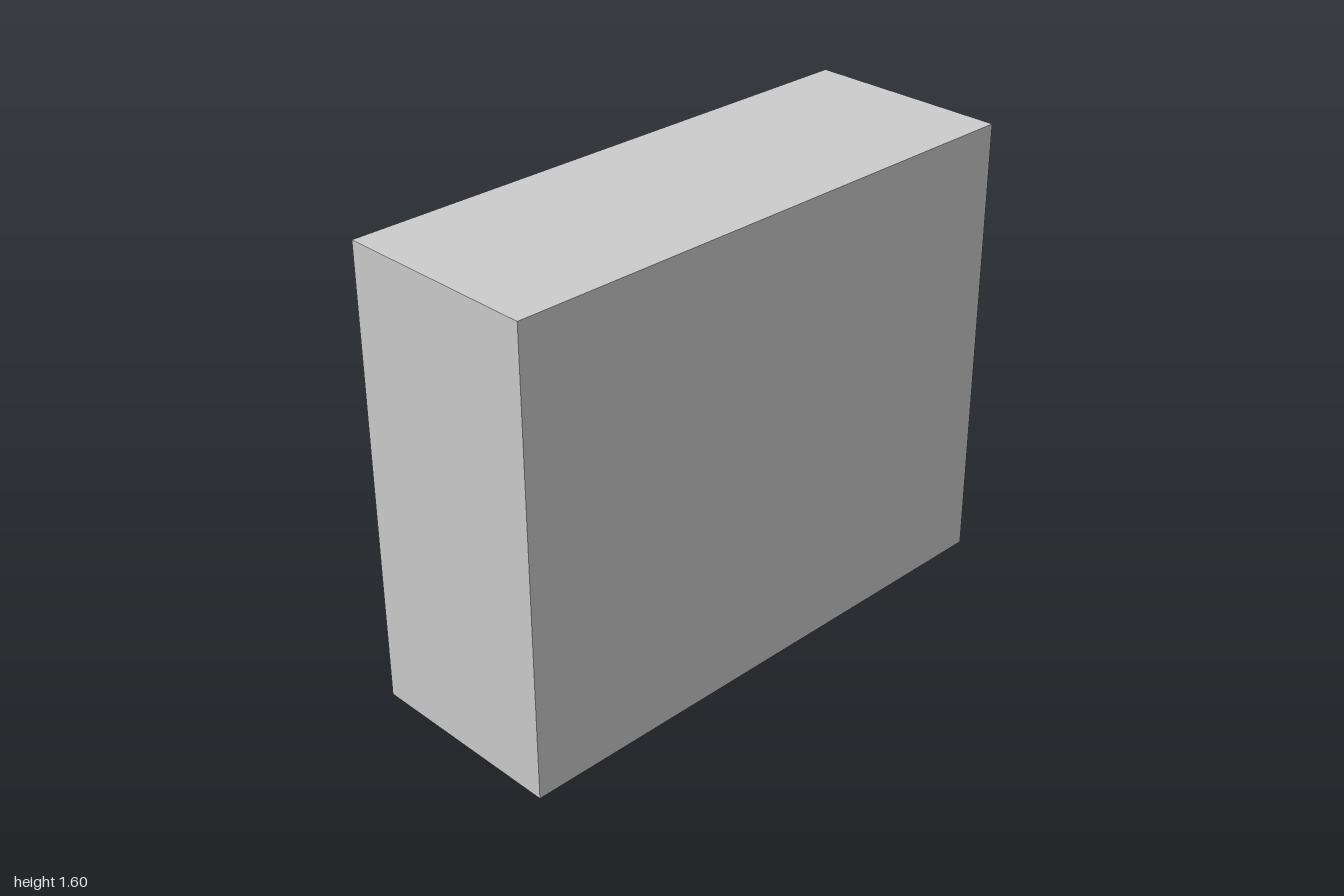
import * as THREE from 'three';

const T = 0.02; // wall thickness

export function createModel() {
  const model = new THREE.Group();
  const grey = new THREE.MeshStandardMaterial({ color: 0xcccccc });
  grey.name = 'light grey';

  // Box given by its lower and upper limits on each axis
  function slab(name, [x0, x1], [y0, y1], [z0, z1]) {
    const mesh = new THREE.Mesh(new THREE.BoxGeometry(x1 - x0, y1 - y0, z1 - z0), grey);
    mesh.position.set((x0 + x1) / 2, (y0 + y1) / 2, (z0 + z1) / 2);
    mesh.name = name;
    model.add(mesh);
  }

  // Side profile of [z, y] points, extruded along x from x0 to x1
  function profile(name, outline, x0, x1, hole) {
    const points = (list) => list.map(([z, y]) => new THREE.Vector2(-z, y));
    const shape = new THREE.Shape(points(outline));
    if (hole) shape.holes.push(new THREE.Path(points(hole)));
    const geometry = new THREE.ExtrudeGeometry(shape, { depth: x1 - x0, bevelEnabled: false });
    geometry.rotateY(Math.PI / 2);
    const mesh = new THREE.Mesh(geometry, grey);
    mesh.position.x = x0;
    mesh.name = name;
    model.add(mesh);
  }

  // Closed shell: front, right-hand wall and floor
  slab('frontPanel', [-1, 1 - T], [T, 1.58], [0.34, 0.36]);
  slab('closedSideWall', [-1, -1 + T], [T, 1.58], [-0.36, 0.34]);
  slab('floor', [-1, 1 - T], [0, T], [-0.36, 0.36]);

  // Top with a slightly sloping underside
  profile('top', [[0.36, 1.6], [-0.36, 1.6], [-0.36, 1.56], [-0.24, 1.56], [0.34, 1.58], [0.36, 1.58]], -1, 1 - T);

  // Side frame around the tall opening
  profile('openSideFrame',
    [[0.36, 0], [-0.36, 0], [-0.36, 1.6], [0.36, 1.6]], 1 - T, 1,
    [[0.34, T], [-0.22, T], [-0.22, 0.08], [-0.238, 0.75], [-0.24, 1.56], [0.34, 1.58]]);

  // Recessed back panel
  slab('backPanel', [-1 + T, 1 - T], [T, 1.562], [-0.24, -0.22]);

  // Low ramp in the bottom corner
  profile('cornerRamp', [[-0.36, T], [-0.22, 0.08], [0, T]], -1 + T, -0.71);

  return model;
}
